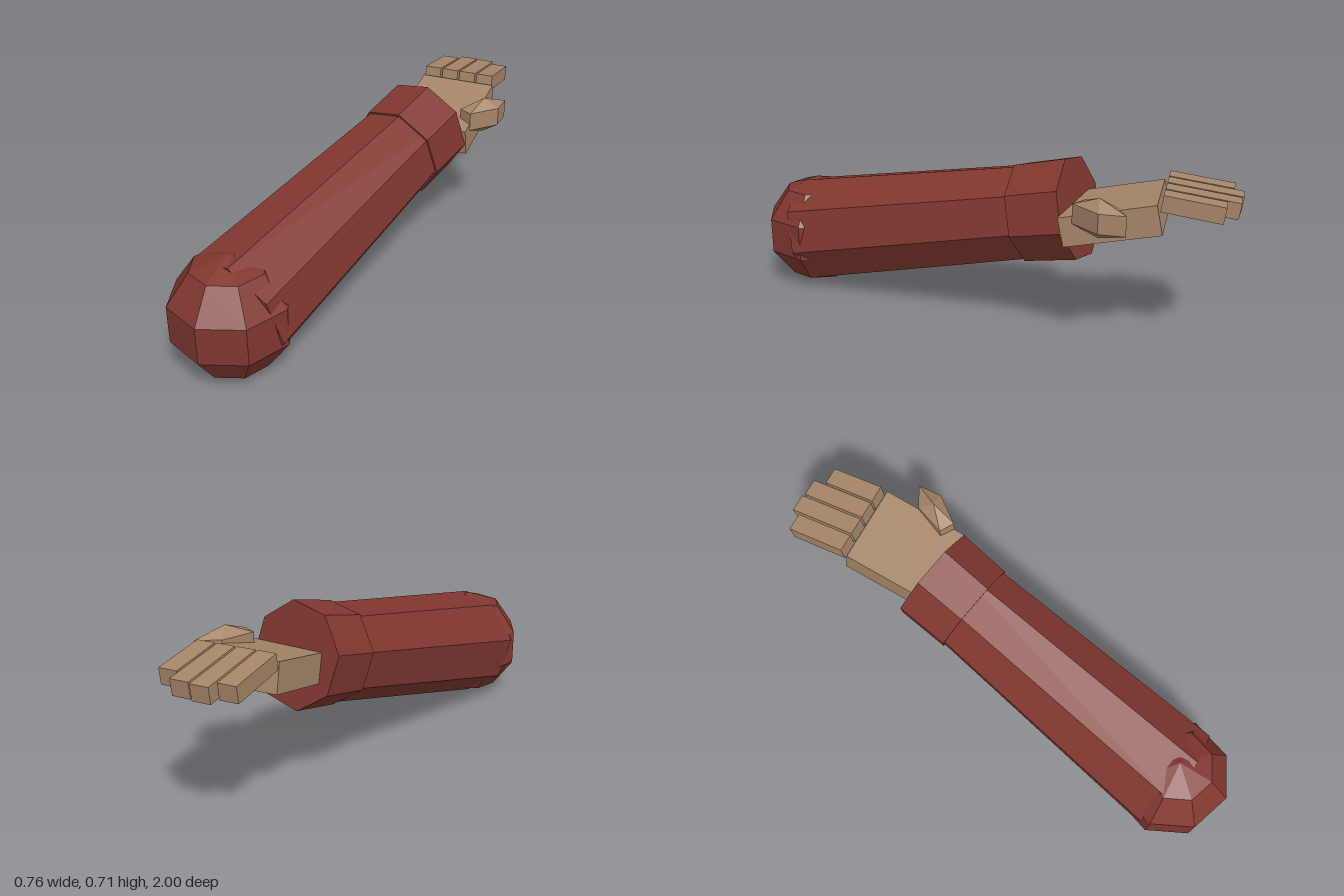
import * as THREE from 'three';

export function createModel() {
  const group = new THREE.Group();
  const mat = (name, color) => {
    const m = new THREE.MeshStandardMaterial({ color });
    m.name = name;
    m.flatShading = true;
    return m;
  };
  const sleeveRed = mat('sleeve red', 0x80372f);
  const skinTan = mat('skin tan', 0xa58669);

  const add = (name, geometry, material, x = 0, y = 0, z = 0) => {
    const mesh = new THREE.Mesh(geometry, material);
    mesh.name = name;
    mesh.position.set(x, y, z);
    group.add(mesh);
    return mesh;
  };

  // Sleeve runs from the elbow to the wrist
  const elbow = new THREE.Vector3(-0.16, 0.235, 0.7765);
  const wrist = new THREE.Vector3(0.085, 0.514, -0.405);
  const dir = wrist.clone().sub(elbow).normalize();

  // Eight-sided tapered tube between two fractions of the elbow-wrist line
  const sleevePart = (name, t0, t1, r0, r1) => {
    const a = elbow.clone().lerp(wrist, t0);
    const b = elbow.clone().lerp(wrist, t1);
    const mesh = add(name, new THREE.CylinderGeometry(r1, r0, a.distanceTo(b), 8), sleeveRed);
    mesh.position.copy(a).lerp(b, 0.5);
    mesh.quaternion.setFromUnitVectors(new THREE.Vector3(0, 1, 0), dir);
  };

  add('elbow', new THREE.SphereGeometry(0.235, 8, 5), sleeveRed, elbow.x, elbow.y, elbow.z);
  sleevePart('sleeve', 0, 0.97, 0.231, 0.185);
  sleevePart('cuff', 0.827, 1, 0.2, 0.204);

  // Palm tilts up towards the fingers
  const palm = add('palm', new THREE.BoxGeometry(0.32, 0.113, 0.36), skinTan, 0.125, 0.52, -0.547);
  palm.rotation.x = 0.222;

  // Four fingers of different lengths, tilted slightly down
  const tilt = 0.122;
  [0.24, 0.275, 0.268, 0.218].forEach((len, i) => {
    const finger = add('finger' + (i + 1), new THREE.BoxGeometry(0.071, 0.062, len), skinTan,
      0.08 * i, 0.619 - Math.sin(tilt) * len / 2, -0.725 - Math.cos(tilt) * len / 2);
    finger.rotation.x = -tilt;
  });

  // Thumb: stretched five-sided ball
  const thumb = add('thumb', new THREE.SphereGeometry(1, 5, 3), skinTan, 0.31, 0.558, -0.513);
  thumb.scale.set(0.14, 0.075, 0.063);
  thumb.rotation.y = -2.117;

  return group;
}
